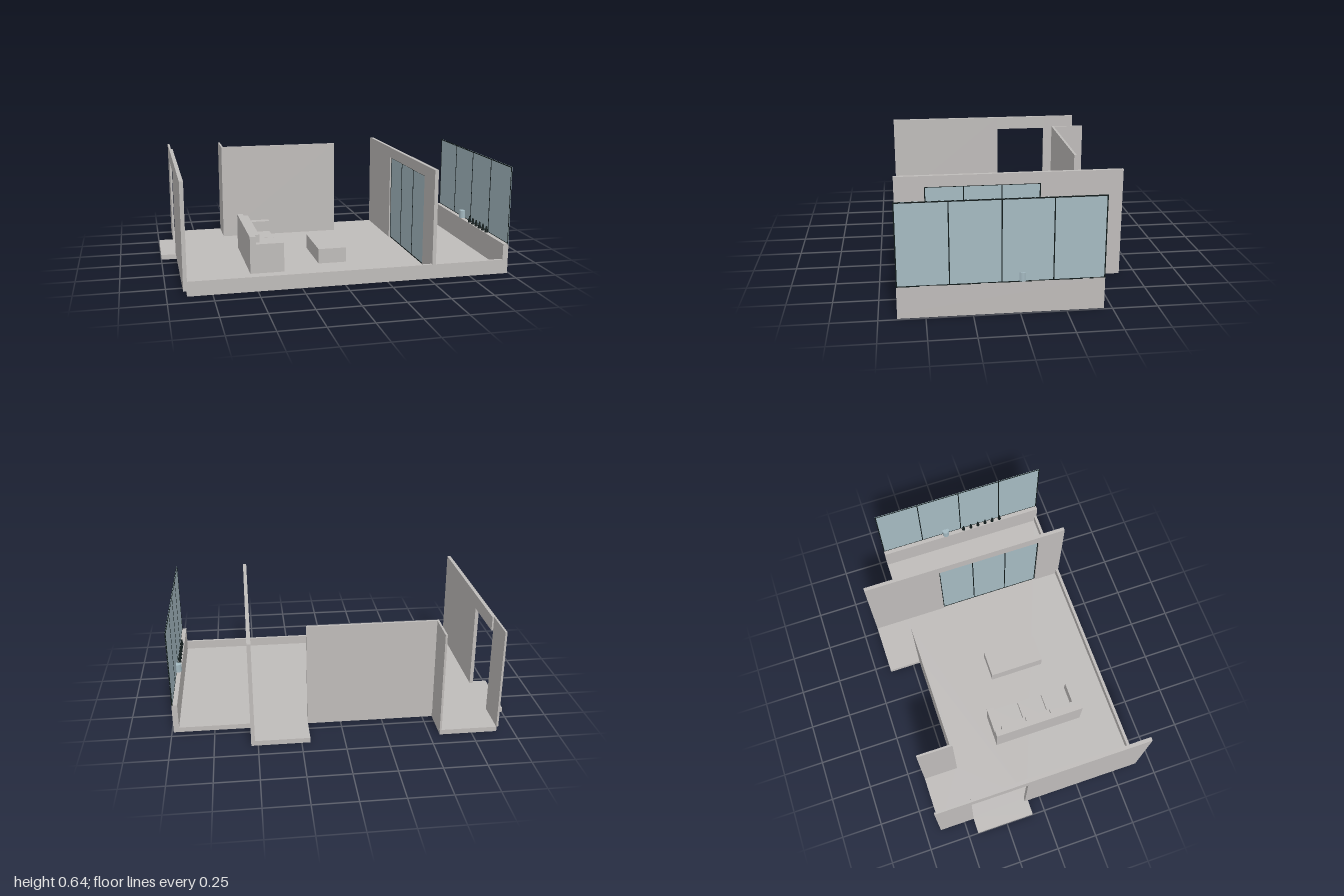
import * as THREE from 'three';

const mat = (name, color) => {
  const m = new THREE.MeshStandardMaterial({ color });
  m.name = name;
  return m;
};

export function createModel() {
  const model = new THREE.Group();
  model.name = 'apartment';
  const plaster = mat('plaster grey', 0xbfbcba);
  const glass = mat('glass blue', 0xa5bac2);
  const black = mat('frame black', 0x101a1a);

  // Box from its minimum and maximum on each axis
  const box = (name, x0, x1, y0, y1, z0, z1, material = plaster, parent = model) => {
    const mesh = new THREE.Mesh(new THREE.BoxGeometry(x1 - x0, y1 - y0, z1 - z0), material);
    mesh.position.set((x0 + x1) / 2, (y0 + y1) / 2, (z0 + z1) / 2);
    mesh.name = name;
    parent.add(mesh);
    return mesh;
  };
  const group = (name) => {
    const g = new THREE.Group();
    g.name = name;
    model.add(g);
    return g;
  };

  const FLOOR = 0.03, TOP = 0.64, CURB = 0.085, RAIL = 0.18;

  // Floor slab with two rear alcoves and the entrance step, as [x, z]
  const outline = [
    [-0.89, 0.65], [0.99, 0.65], [0.99, -0.455], [0.54, -0.455], [0.54, -0.655], [0.2, -0.655],
    [0.2, -0.44], [-0.56, -0.44], [-0.56, -0.655], [-0.9, -0.655], [-0.9, -0.44],
    [-1, -0.44], [-1, -0.08], [-0.89, -0.08],
  ];
  const slab = new THREE.Shape(outline.map(([x, z]) => new THREE.Vector2(x, -z)));
  const slabGeo = new THREE.ExtrudeGeometry(slab, { depth: FLOOR, bevelEnabled: false });
  slabGeo.rotateX(-Math.PI / 2);
  const floor = new THREE.Mesh(slabGeo, plaster);
  floor.name = 'floor';
  model.add(floor);

  // Front curb and balcony parapet
  box('frontCurb', -0.89, 0.957, FLOOR, CURB, 0.632, 0.65);
  box('balconyParapet', 0.957, 0.99, FLOOR, RAIL, -0.455, 0.65);

  // Left wall with entrance opening
  const leftWall = group('leftWall');
  box('leftWallFront', -0.91, -0.888, FLOOR, TOP, -0.1, 0.65, plaster, leftWall);
  box('doorHeader', -0.91, -0.888, 0.555, TOP, -0.44, -0.1, plaster, leftWall);
  box('leftWallBack', -0.91, -0.898, FLOOR, TOP, -0.655, -0.44, plaster, leftWall);

  // Rear walls
  box('backWall', -0.57, 0.2, FLOOR, TOP, -0.455, -0.44);
  box('alcoveWall', -0.57, -0.558, FLOOR, TOP, -0.655, -0.455);

  // Right wall with the sliding door opening, drawn in (-z, y)
  const doorZ0 = -0.18, doorZ1 = 0.48, doorTop = 0.575;
  const wallShape = new THREE.Shape([
    [-0.65, FLOOR], [-doorZ1, FLOOR], [-doorZ1, doorTop], [-doorZ0, doorTop],
    [-doorZ0, FLOOR], [0.655, FLOOR], [0.655, TOP], [-0.65, TOP],
  ].map(([a, b]) => new THREE.Vector2(a, b)));
  const wallGeo = new THREE.ExtrudeGeometry(wallShape, { depth: 0.022, bevelEnabled: false });
  wallGeo.rotateY(Math.PI / 2);
  const rightWall = new THREE.Mesh(wallGeo, plaster);
  rightWall.position.x = 0.518;
  rightWall.name = 'rightWall';
  model.add(rightWall);

  // Glazing: pane with thin black bars around and between the panels
  const glazing = (name, x, y0, y1, z0, z1, count) => {
    const g = group(name);
    const t = 0.006;
    box('pane', x - 0.0015, x + 0.0015, y0, y1, z0, z1, glass, g);
    for (let i = 0; i <= count; i++) {
      const z = z0 + t / 2 + ((z1 - z0 - t) * i) / count;
      box('upright', x - 0.003, x + 0.003, y0, y1, z - t / 2, z + t / 2, black, g);
    }
    box('bottomBar', x - 0.003, x + 0.003, y0, y0 + t, z0, z1, black, g);
    box('topBar', x - 0.003, x + 0.003, y1 - t, y1, z0, z1, black, g);
  };
  glazing('balconyGlass', 0.987, RAIL - 0.003, TOP, -0.455, 0.65, 4);
  glazing('slidingDoor', 0.529, FLOOR, doorTop, doorZ0, doorZ1, 3);

  // Sofa facing the balcony
  const sofa = group('sofa');
  box('base', -0.475, -0.31, FLOOR, 0.105, -0.105, 0.38, plaster, sofa);
  box('backrest', -0.51, -0.475, FLOOR, 0.25, -0.15, 0.42, plaster, sofa);
  box('armBack', -0.475, -0.31, FLOOR, 0.205, -0.15, -0.105, plaster, sofa);
  box('armFront', -0.475, -0.31, FLOOR, 0.205, 0.38, 0.42, plaster, sofa);
  for (let i = 0; i < 3; i++) {
    const z0 = -0.103 + i * 0.161, z1 = z0 + 0.157;
    box('seatCushion', -0.475, -0.31, 0.105, 0.14, z0, z1, plaster, sofa);
    box('backCushion', -0.475, -0.448, 0.14, 0.25, z0, z1, plaster, sofa);
  }

  // Coffee table
  box('coffeeTable', -0.08, 0.09, FLOOR, 0.12, -0.035, 0.31);

  // Glass cup and a row of small pegs on the parapet
  const cup = new THREE.Mesh(new THREE.CylinderGeometry(0.023, 0.023, 0.05, 8), glass);
  cup.position.set(0.975, RAIL + 0.025, -0.012);
  cup.name = 'cup';
  model.add(cup);
  const pegGeo = new THREE.CylinderGeometry(0.004, 0.011, 0.04, 10);
  for (let i = 0; i < 6; i++) {
    const peg = new THREE.Mesh(pegGeo, black);
    peg.position.set(0.972, RAIL + 0.02, 0.115 + i * 0.052);
    peg.name = 'peg';
    model.add(peg);
  }

  return model;
}
